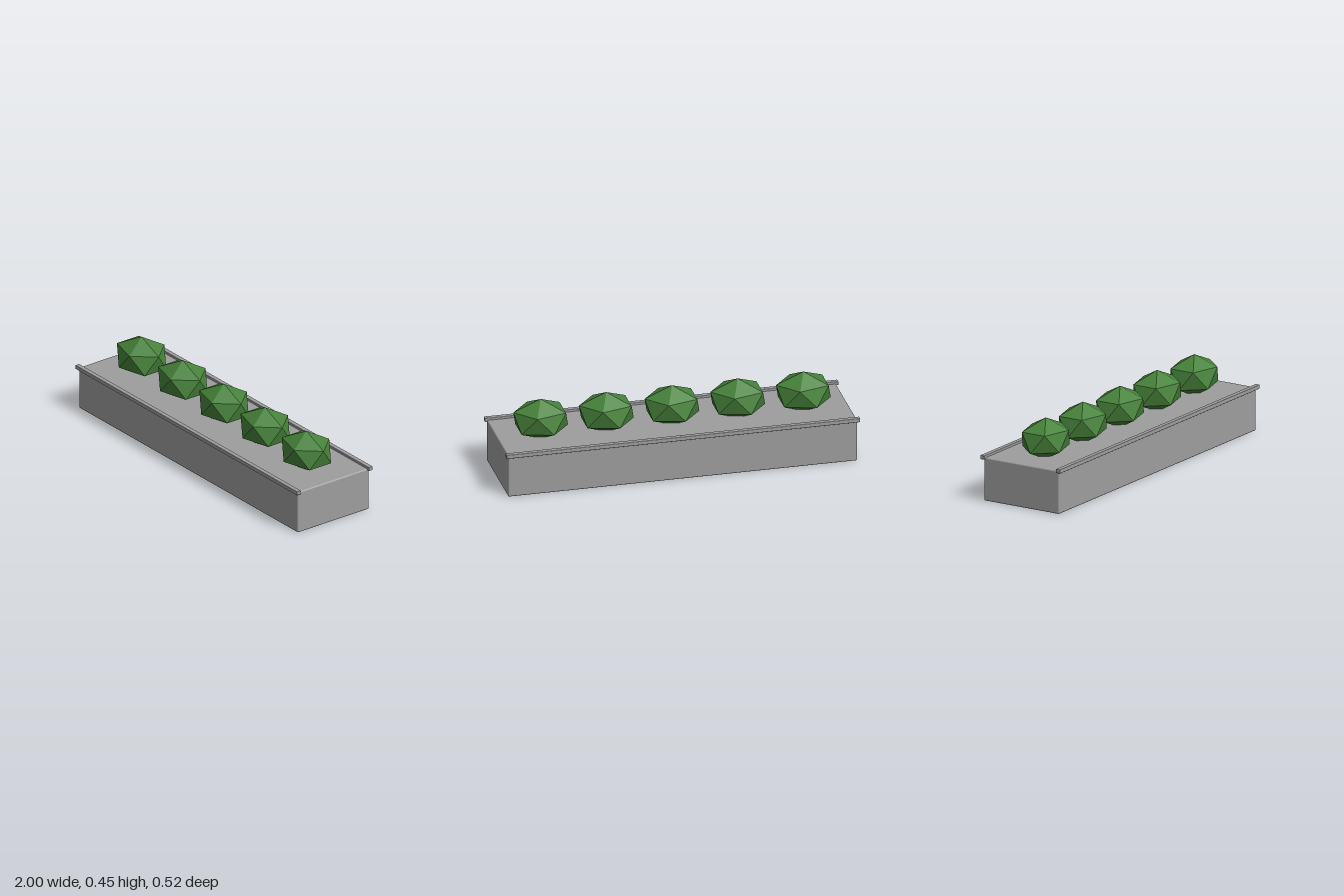
import * as THREE from 'three';
import { RoundedBoxGeometry } from 'three/addons/geometries/RoundedBoxGeometry.js';

const material = (name, color) => Object.assign(new THREE.MeshStandardMaterial({ color }), { name });

export function createModel() {
  const concrete = material('concrete grey', 0x9e9e9e);
  const earth = material('soil brown', 0x4e342e);
  const leaf = material('leaf green', 0x46823a);
  const model = new THREE.Group();
  model.name = 'planter';

  const add = (name, geometry, mat, x, y, z) => {
    const mesh = new THREE.Mesh(geometry, mat);
    mesh.name = name;
    mesh.position.set(x, y, z);
    model.add(mesh);
    return mesh;
  };

  // Trough with softened edges
  add('trough', new RoundedBoxGeometry(1.974, 0.247, 0.494, 2, 0.008), concrete, 0, 0.1235, 0);

  // Soil fill, level with the top of the trough
  add('soil', new THREE.BoxGeometry(1.9, 0.04, 0.44), earth, 0, 0.2265, 0);

  // Rim rails along both long edges
  const rail = new RoundedBoxGeometry(2, 0.023, 0.027, 2, 0.003);
  for (const [name, side] of [['frontRail', 1], ['backRail', -1]]) {
    add(name, rail, concrete, 0, 0.249, side * 0.2485);
  }

  // Faceted shrub: an icosahedron turned point-up, with one upper corner towards +x
  const shrub = new THREE.IcosahedronGeometry(1, 0);
  shrub.rotateX(-Math.atan2((1 + Math.sqrt(5)) / 2, 1));
  shrub.rotateY(Math.PI / 2);
  shrub.scale(0.173, 0.118, 0.142);
  for (let i = -2; i <= 2; i++) {
    add(`shrub${i + 3}`, shrub, leaf, i * 0.3715, 0.337, 0);
  }

  return model;
}
